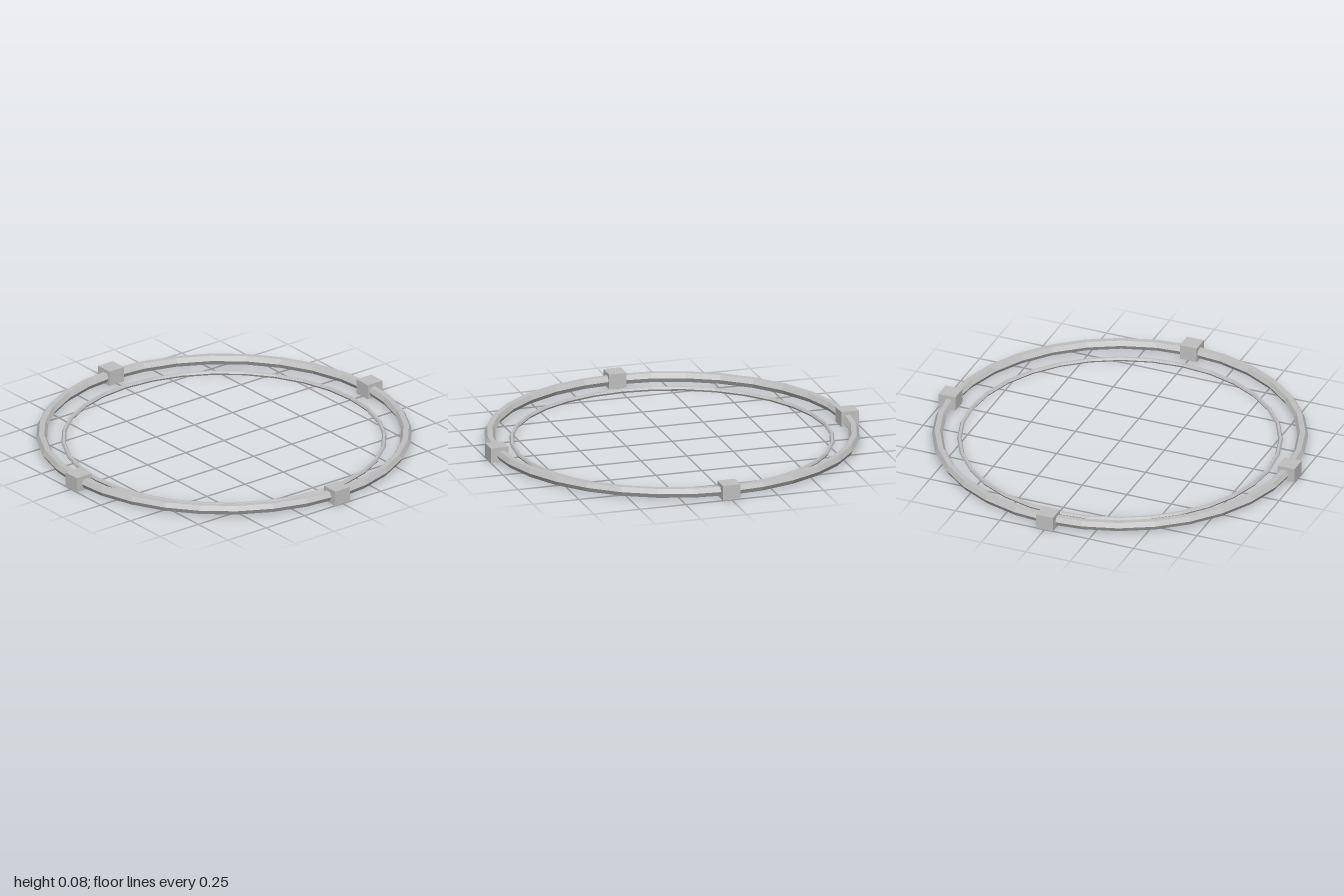
import * as THREE from 'three';

export function createModel() {
  const model = new THREE.Group();
  const grey = new THREE.MeshStandardMaterial({ color: 0xc0c0c0, flatShading: true });
  grey.name = 'light grey metal';

  const add = (name, geometry, x, y, z) => {
    const mesh = new THREE.Mesh(geometry, grey);
    mesh.name = name;
    mesh.position.set(x, y, z);
    model.add(mesh);
  };

  // Flat-lying ring with a hexagonal section and 32 straight segments
  const ring = (radius, tube) => new THREE.TorusGeometry(radius, tube, 6, 32).rotateX(Math.PI / 2);
  add('outerRing', ring(0.945, 0.028), 0, 0.037, 0);
  add('innerRing', ring(0.831, 0.012), 0, 0.0105, 0);

  // Four blocks clamped round the outer ring
  const block = new THREE.BoxGeometry(0.095, 0.08, 0.095);
  const r = 0.9525;
  [['left', r, 0], ['right', -r, 0], ['front', 0, r], ['back', 0, -r]].forEach(([side, x, z]) =>
    add(side + 'Block', block, x, 0.04, z));

  return model;
}
